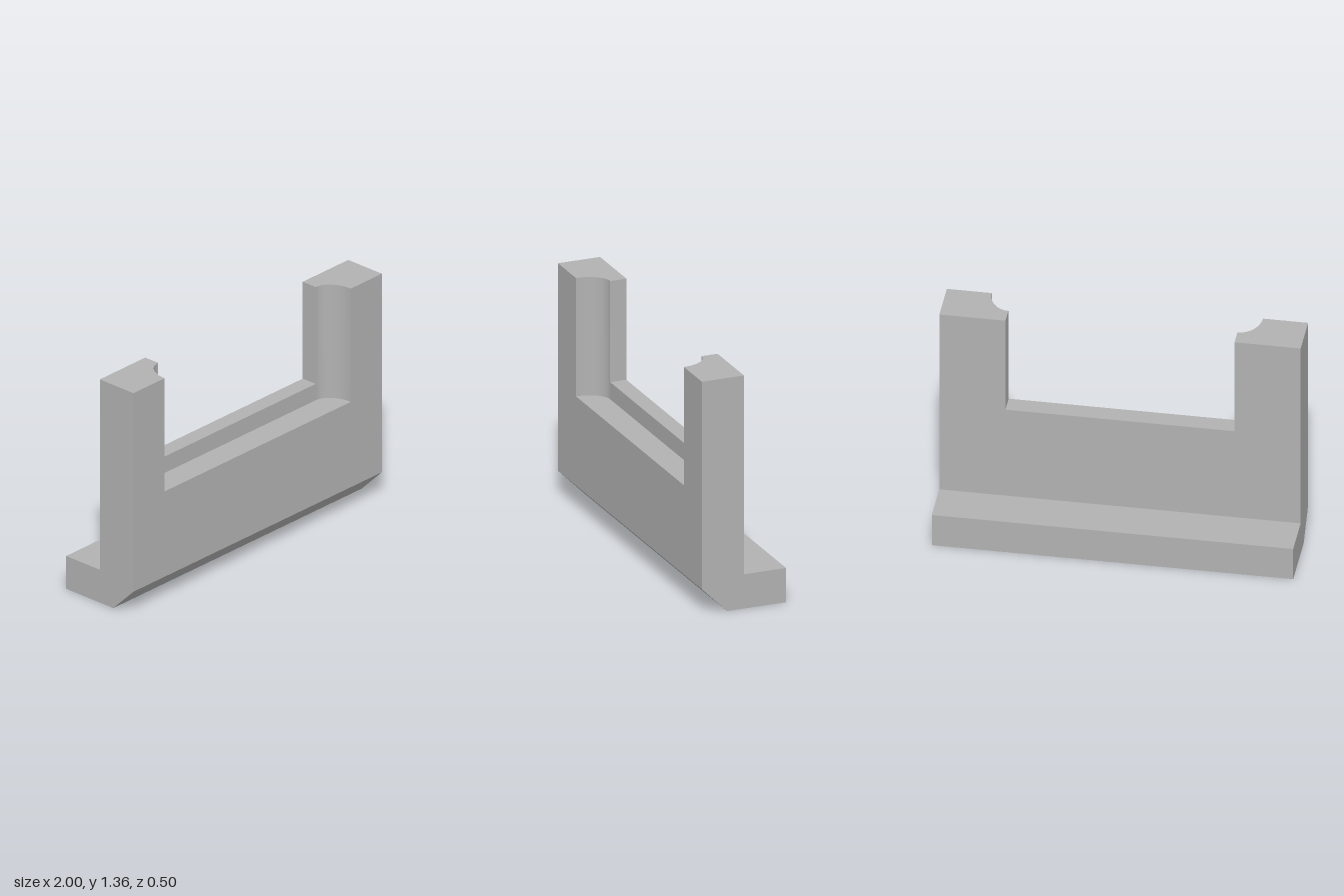
import * as THREE from 'three';
import { toCreasedNormals } from 'three/addons/utils/BufferGeometryUtils.js';

const WIDTH = 2, TOP = 1.36, FRONT = 0.25;
const SILL = 0.67, LEDGE = 0.77;       // heights of recess floor and rear ledge
const INNER = 0.634, COVE = 0.75;      // half widths of opening and recess
const COVE_Z = 0.096;                  // depth position of the recess back

export function createModel() {
  const group = new THREE.Group();
  const grey = new THREE.MeshStandardMaterial({ color: 0xb2b2b2 });
  grey.name = 'plain grey';
  const add = (name, geometry) => {
    const mesh = new THREE.Mesh(geometry, grey);
    mesh.name = name;
    group.add(mesh);
    return mesh;
  };

  // Lower wall with chamfered front edge and rear foot; [z, y] profile run along x
  const profile = [[FRONT, 0.15], [0.1, 0], [-0.25, 0], [-0.25, 0.2], [0, 0.2], [0, SILL], [FRONT, SILL]];
  const section = new THREE.Shape(profile.map(([z, y]) => new THREE.Vector2(-z, y)));
  const base = new THREE.ExtrudeGeometry(section, { depth: WIDTH, bevelEnabled: false });
  base.translate(0, 0, -WIDTH / 2).rotateY(Math.PI / 2);
  add('lowerWallAndFoot', base);

  // Raised ledge behind the recess
  add('rearLedge', new THREE.BoxGeometry(INNER * 2, LEDGE - SILL, COVE_Z))
    .position.set(0, (SILL + LEDGE) / 2, COVE_Z / 2);

  // Side posts with a concave cove on the inner front corner
  for (const s of [-1, 1]) {
    const plan = new THREE.Shape();
    plan.moveTo(s, 0);
    plan.lineTo(s, -FRONT);
    plan.lineTo(s * COVE, -FRONT);
    const steps = 20;
    for (let i = 1; i <= steps; i++) {
      const t = (i / steps) * Math.PI / 2;
      plan.lineTo(s * (INNER + (COVE - INNER) * Math.cos(t)), -FRONT + (FRONT - COVE_Z) * Math.sin(t));
    }
    plan.lineTo(s * INNER, 0);
    const post = new THREE.ExtrudeGeometry(plan, { depth: TOP - SILL, bevelEnabled: false });
    post.rotateX(-Math.PI / 2).translate(0, SILL, 0);
    add(s > 0 ? 'leftPost' : 'rightPost', toCreasedNormals(post, 0.5));
  }
  return group;
}
